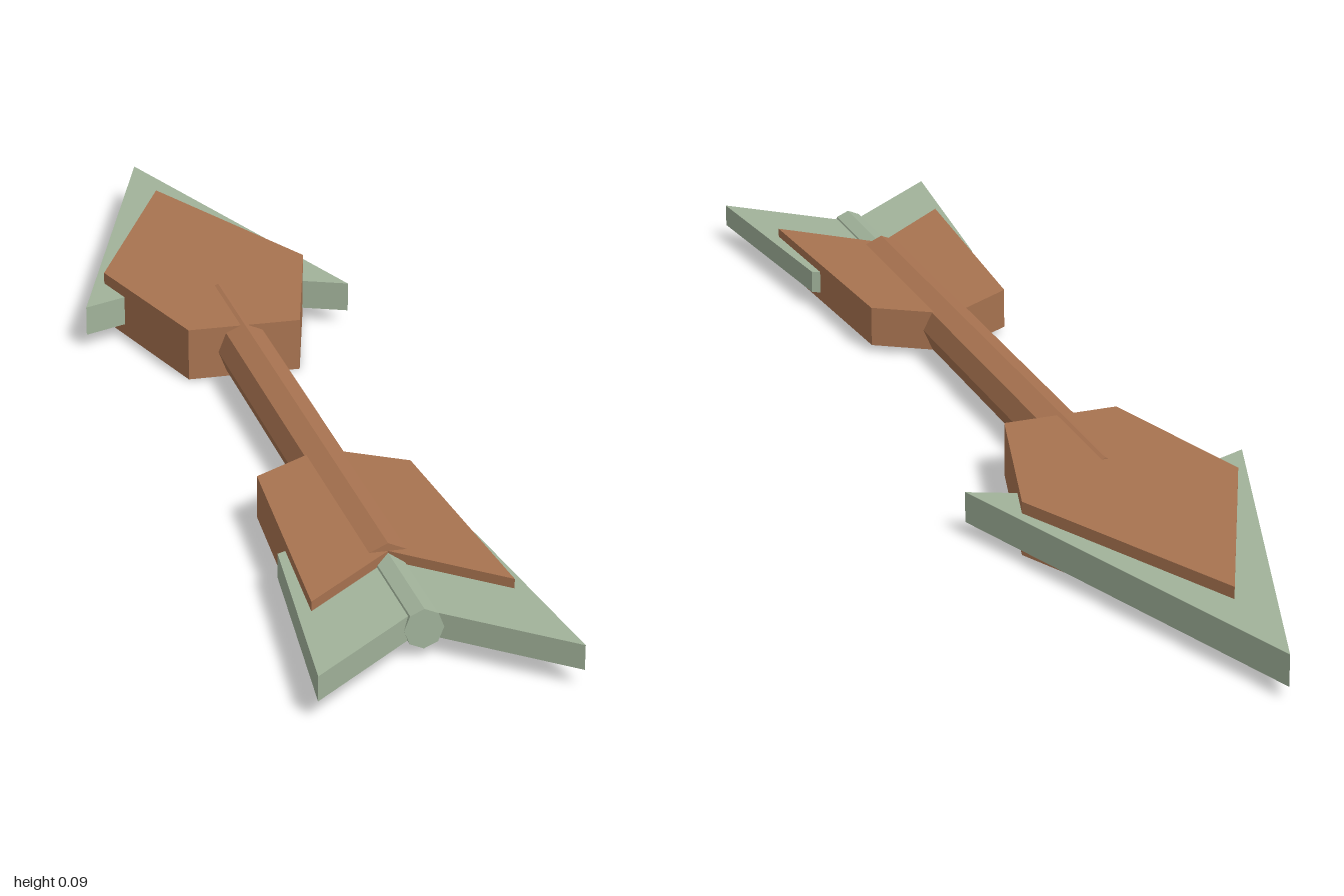
import * as THREE from 'three';

const MID = 0.045; // height of the arrow's centre line

export function createModel() {
  const wood = new THREE.MeshStandardMaterial({ color: 0xa87350 });
  wood.name = 'brown wood';
  const sage = new THREE.MeshStandardMaterial({ color: 0xa1b29a });
  sage.name = 'sage green';

  const arrow = new THREE.Group();
  arrow.name = 'arrow';

  const add = (name, geometry, material) => {
    const mesh = new THREE.Mesh(geometry, material);
    mesh.name = name;
    mesh.position.y = MID;
    arrow.add(mesh);
  };

  // Flat slab, mirrored in x; the half outline lists [x, z] from the back notch to the tip
  const slab = (name, half, thickness, material) => {
    const mirrored = half.filter(([x]) => x > 0).reverse().map(([x, z]) => [-x, z]);
    const shape = new THREE.Shape([...half, ...mirrored].map(([x, z]) => new THREE.Vector2(x, z)));
    const geometry = new THREE.ExtrudeGeometry(shape, { depth: thickness, bevelEnabled: false });
    geometry.translate(0, 0, -thickness / 2).rotateX(Math.PI / 2);
    add(name, geometry, material);
  };

  // Eight-sided rod along z with an edge on top
  const rod = (name, radius, z0, z1, material) => {
    const geometry = new THREE.CylinderGeometry(radius, radius, z1 - z0, 8).toNonIndexed();
    geometry.rotateX(Math.PI / 2).scale(0.95, 1, 1).translate(0, 0, (z0 + z1) / 2);
    geometry.computeVertexNormals();
    add(name, geometry, material);
  };

  // Shaft and its slimmer end
  rod('shaft', 0.045, -0.345, 0.683, wood);
  rod('nock', 0.03, 0.6, 0.865, sage);

  // Arrowhead: thin barbed blade through a thick core
  slab('headBlade', [[0, -0.44], [0.222, -0.345], [0, -1]], 0.048, sage);
  slab('headCore', [[0, -0.163], [0.092, -0.163], [0.171, -0.445], [0, -0.817]], 0.085, wood);

  // Fletching: thin swept blade behind a thick core
  slab('tailBlade', [[0, 0.84], [0.185, 1], [0.145, 0.625], [0, 0.55]], 0.037, sage);
  slab('tailCore', [[0, 0.683], [0.145, 0.812], [0.117, 0.392], [0, 0.318]], 0.066, wood);

  return arrow;
}
